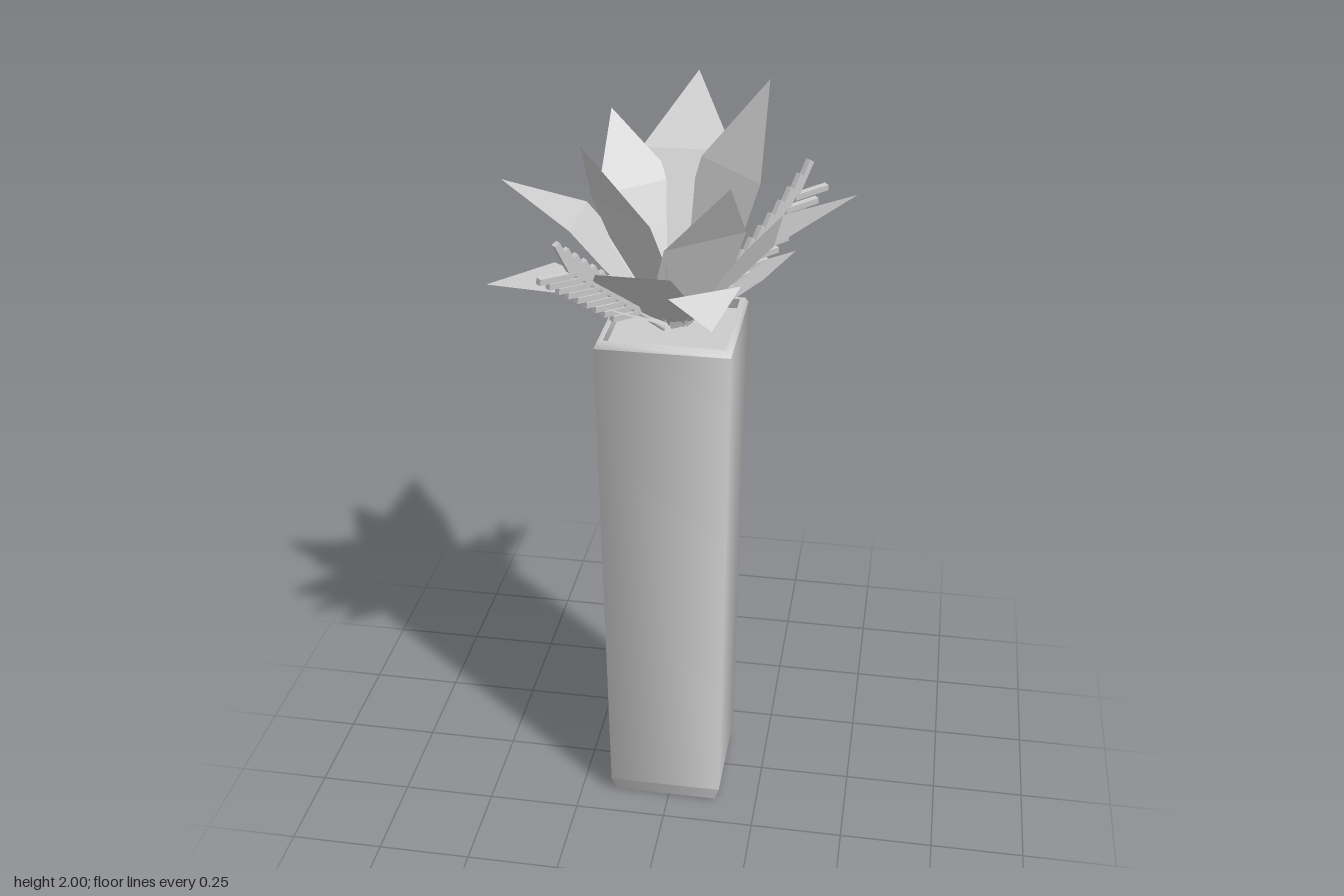
import * as THREE from 'three';

const V = (a) => new THREE.Vector3(...a);
const plain = () => new THREE.MeshStandardMaterial({ color: 0xcccccc });
const thin = () => new THREE.MeshStandardMaterial({ color: 0xcccccc, side: THREE.DoubleSide, flatShading: true });

// Flat leaf: narrow base, wide middle, pointed tip
function leaf(tip, wideA, wideB, base = [0, 1.41, 0.01]) {
  const T = V(tip), A = V(wideA), B = V(wideB), O = V(base);
  const mid = A.clone().lerp(B, 0.5);
  const half = A.clone().sub(mid);
  const row = (k, w) => {
    const c = mid.clone().lerp(O, k);
    return [c.clone().addScaledVector(half, w), c.clone().addScaledVector(half, -w)];
  };
  const pts = [...row(1, 0.2), ...row(0.35, 0.97), A, B, T];
  const geo = new THREE.BufferGeometry().setFromPoints(pts);
  geo.setIndex([0, 1, 2, 1, 3, 2, 2, 3, 4, 3, 5, 4, 4, 5, 6]);
  geo.computeVertexNormals();
  return new THREE.Mesh(geo, thin());
}

// Straight bar between two points
function bar(a, b, r0, r1, sides) {
  const d = b.clone().sub(a);
  const mesh = new THREE.Mesh(new THREE.CylinderGeometry(r1, r0, d.length(), sides), plain());
  mesh.material.flatShading = true;
  mesh.position.copy(a).addScaledVector(d, 0.5);
  mesh.quaternion.setFromUnitVectors(new THREE.Vector3(0, 1, 0), d.normalize());
  return mesh;
}

// Frond: a stem with rows of small leaflets above and below
function frond(base, bend, end) {
  const g = new THREE.Group();
  const curve = new THREE.QuadraticBezierCurve3(V(base), V(bend), V(end));
  const stem = new THREE.Mesh(new THREE.TubeGeometry(curve, 10, 0.006, 5), plain());
  stem.name = 'frondStem';
  g.add(stem);
  const out = V(end).sub(V(base)).setY(0).normalize();
  const n = 9;
  for (let i = 0; i < n; i++) {
    const t = 0.3 + 0.7 * i / (n - 1);
    const p = curve.getPoint(t);
    const len = 0.075 + 0.025 * t;
    for (const angle of [0.1, 1.1]) {
      const d = out.clone().multiplyScalar(Math.cos(angle)).setY(Math.sin(angle));
      const leaflet = bar(p, p.clone().addScaledVector(d, len), 0.011, 0.011, 4);
      leaflet.name = 'frondLeaflet';
      g.add(leaflet);
    }
  }
  return g;
}

// Four-sided turned surface, width given as half side
function square(profile, name) {
  const pts = profile.map(([h, y]) => new THREE.Vector2(h * Math.SQRT2, y));
  const mesh = new THREE.Mesh(new THREE.LatheGeometry(pts, 4, Math.PI / 4), plain());
  mesh.material.side = THREE.DoubleSide;
  mesh.name = name;
  return mesh;
}

export function createModel() {
  const model = new THREE.Group();

  // Tall tapered square planter
  const planter = new THREE.Group();
  planter.name = 'planter';
  planter.add(
    square([[0, 0], [0.142, 0]], 'planterBottom'),
    square([[0.142, 0], [0.155, 0.045]], 'planterFoot'),
    square([[0.155, 0.045], [0.17, 1.415]], 'planterWall'),
    square([[0.17, 1.415], [0.163, 1.43], [0.15, 1.43]], 'planterRim'),
    square([[0.15, 1.43], [0.148, 1.4]], 'planterInnerWall'),
    square([[0.148, 1.405], [0, 1.405]], 'soil'),
  );
  planter.position.set(-0.009, 0, 0.014);
  model.add(planter);

  // Leaves: tip, two wide corners, optional base
  const leaves = {
    // Four tall upright leaves
    tallLeaf: [
      [[0.2, 2.0, -0.17], [0.2, 1.79, -0.01], [0.03, 1.79, -0.19], [0.01, 1.42, 0]],
      [[-0.19, 1.94, 0.215], [-0.2, 1.76, 0.06], [-0.03, 1.75, 0.21], [-0.02, 1.42, 0.025]],
      [[0.155, 1.85, 0.195], [0.0, 1.69, 0.2], [0.175, 1.69, 0.05], [0.01, 1.42, 0.035]],
      [[-0.2, 1.9, -0.2], [-0.035, 1.73, -0.19], [-0.205, 1.73, -0.035], [-0.02, 1.42, 0]],
    ],
    // Outward leaning leaves
    sideLeaf: [
      [[0.435, 1.785, 0.01], [0.25, 1.685, 0.115], [0.25, 1.685, -0.09]],
      [[-0.435, 1.775, 0.015], [-0.245, 1.69, -0.09], [-0.245, 1.69, 0.115]],
      [[-0.01, 1.945, -0.41], [0.107, 1.8, -0.21], [-0.125, 1.8, -0.21]],
      [[-0.12, 1.71, 0.41], [-0.168, 1.61, 0.215], [0.027, 1.645, 0.265]],
    ],
    // Low spreading leaves
    lowLeaf: [
      [[-0.435, 1.575, 0.2], [-0.306, 1.57, 0.027], [-0.22, 1.57, 0.215]],
      [[0.13, 1.54, 0.305], [0.02, 1.595, 0.26], [0.18, 1.6, 0.17]],
      [[0.282, 1.58, -0.12], [0.21, 1.53, -0.04], [0.18, 1.53, -0.15]],
      [[0.06, 1.46, -0.335], [0.1, 1.475, -0.2], [-0.03, 1.475, -0.2]],
      [[-0.17, 1.685, -0.335], [-0.07, 1.6, -0.25], [-0.185, 1.6, -0.19]],
    ],
  };
  for (const [name, list] of Object.entries(leaves)) {
    for (const args of list) {
      const mesh = leaf(...args);
      mesh.name = name;
      model.add(mesh);
    }
  }

  // Two fronds on opposite corners
  const frondA = frond([0.02, 1.41, 0], [0.15, 1.52, -0.1], [0.265, 1.69, -0.205]);
  const frondB = frond([-0.03, 1.41, 0.03], [-0.12, 1.53, 0.14], [-0.21, 1.635, 0.245]);
  frondA.name = 'backFrond';
  frondB.name = 'frontFrond';
  model.add(frondA, frondB);

  return model;
}
